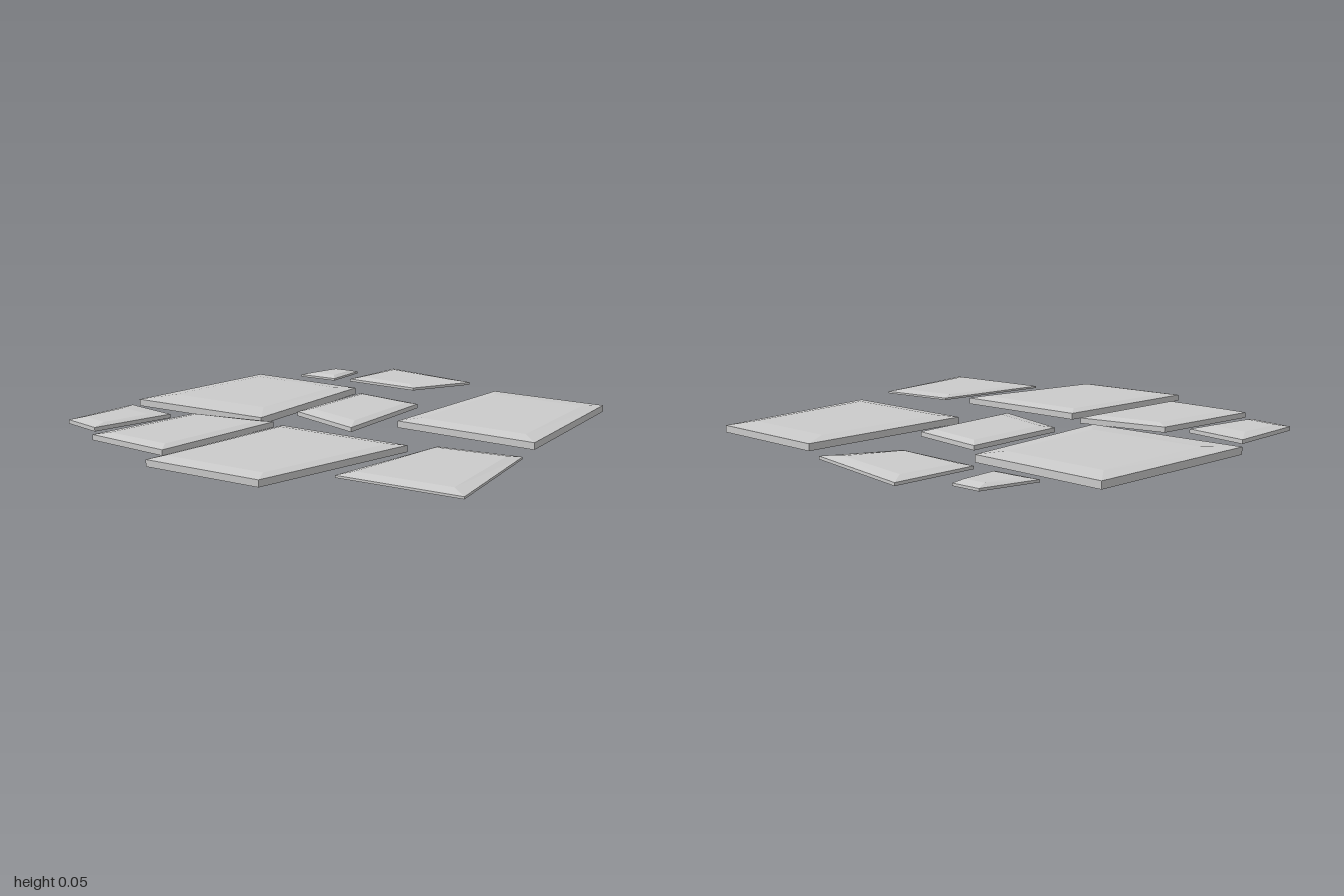
import * as THREE from 'three';

// Each slab: corners as x, z pairs (back left, back right, front right, front left as seen
// from above), underside and rim heights, and the worn edge as fractions [x min, x max, back, front].
const slabs = [
  { name: 'largeBackSlab', corners: [-0.305, -1, 0.475, -0.99, 0.515, -0.405, -0.22, -0.32],
    y: [0, 0.03], worn: [0.18, 0.12, 0.12, 0.13] },
  { name: 'smallBackSlab', corners: [-0.765, -0.91, -0.405, -0.93, -0.425, -0.66, -0.785, -0.715],
    y: [0.015, 0.032], worn: [0.16, 0.25, 0.2, 0.12] },
  { name: 'rightBackSlab', corners: [-0.875, -0.615, -0.365, -0.58, -0.26, -0.21, -0.86, -0.22],
    y: [0.013, 0.036], worn: [0.08, 0.08, 0.14, 0.09] },
  { name: 'rightMiddleSlab', corners: [-1, -0.15, -0.295, -0.13, -0.23, 0.46, -0.93, 0.35],
    y: [0.013, 0.04], worn: [0.08, 0.08, 0.07, 0.07] },
  { name: 'rightFrontSlab', corners: [-0.71, 0.505, -0.16, 0.55, -0.085, 0.88, -0.635, 0.995],
    y: [0.027, 0.036], worn: [0.09, 0.09, 0.08, 0.12] },
  { name: 'centreSlab', corners: [-0.045, -0.27, 0.425, -0.3, 0.405, 0.04, -0.125, 0.095],
    y: [0.014, 0.033], worn: [0.13, 0.08, 0.12, 0.1] },
  { name: 'leftFrontSlab', corners: [0.09, 0.17, 0.86, 0.155, 0.905, 0.69, 0.135, 0.8],
    y: [0.004, 0.033], worn: [0.09, 0.14, 0.11, 0.11] },
  { name: 'leftMiddleSlab', corners: [0.65, -0.55, 1, -0.55, 0.955, -0.05, 0.67, -0.18],
    y: [0.022, 0.034], worn: [0.11, 0.16, 0.1, 0.15] },
  { name: 'leftBackChip', corners: [0.605, -0.83, 0.835, -0.78, 0.85, -0.665, 0.63, -0.635],
    y: [0.018, 0.028], worn: [0.17, 0.18, 0.17, 0.14] },
];
const CROWN_RISE = 0.01;

// Point at fractions u (across) and v (back to front) of a four-cornered outline.
function pointInside(corners, u, v) {
  const [a, b, c, d] = [0, 2, 4, 6].map((i) => new THREE.Vector2(corners[i], corners[i + 1]));
  return a.lerp(b, u).lerp(d.lerp(c, u), v);
}

// Stack three four-cornered rings: underside, rim and crown, then cap both ends.
function slabGeometry({ corners, y, worn }) {
  const [bottom, rim] = y;
  const [left, right, back, front] = worn;
  const positions = [];
  const addRing = (height, u0, u1, v0, v1) => {
    for (const [u, v] of [[u0, v0], [u1, v0], [u1, v1], [u0, v1]]) {
      const p = pointInside(corners, u, v);
      positions.push(p.x, height, p.y);
    }
  };
  addRing(bottom, 0, 1, 0, 1);
  addRing(rim, 0, 1, 0, 1);
  addRing(rim + CROWN_RISE, left, 1 - right, back, 1 - front);

  const index = [];
  for (let r = 0; r < 2; r++) {
    for (let i = 0; i < 4; i++) {
      const a = r * 4 + i;
      const b = r * 4 + ((i + 1) % 4);
      index.push(a, a + 4, b + 4, a, b + 4, b);
    }
  }
  index.push(0, 1, 2, 0, 2, 3); // underside
  index.push(8, 11, 10, 8, 10, 9); // walking surface

  const geometry = new THREE.BufferGeometry();
  geometry.setAttribute('position', new THREE.Float32BufferAttribute(positions, 3));
  geometry.setIndex(index);
  const flat = geometry.toNonIndexed();
  flat.computeVertexNormals();
  return flat;
}

export function createModel() {
  const group = new THREE.Group();
  group.name = 'steppingStones';
  const stone = new THREE.MeshStandardMaterial({ color: 0xcccccc, flatShading: true });
  for (const slab of slabs) {
    const mesh = new THREE.Mesh(slabGeometry(slab), stone);
    mesh.name = slab.name;
    group.add(mesh);
  }
  return group;
}
